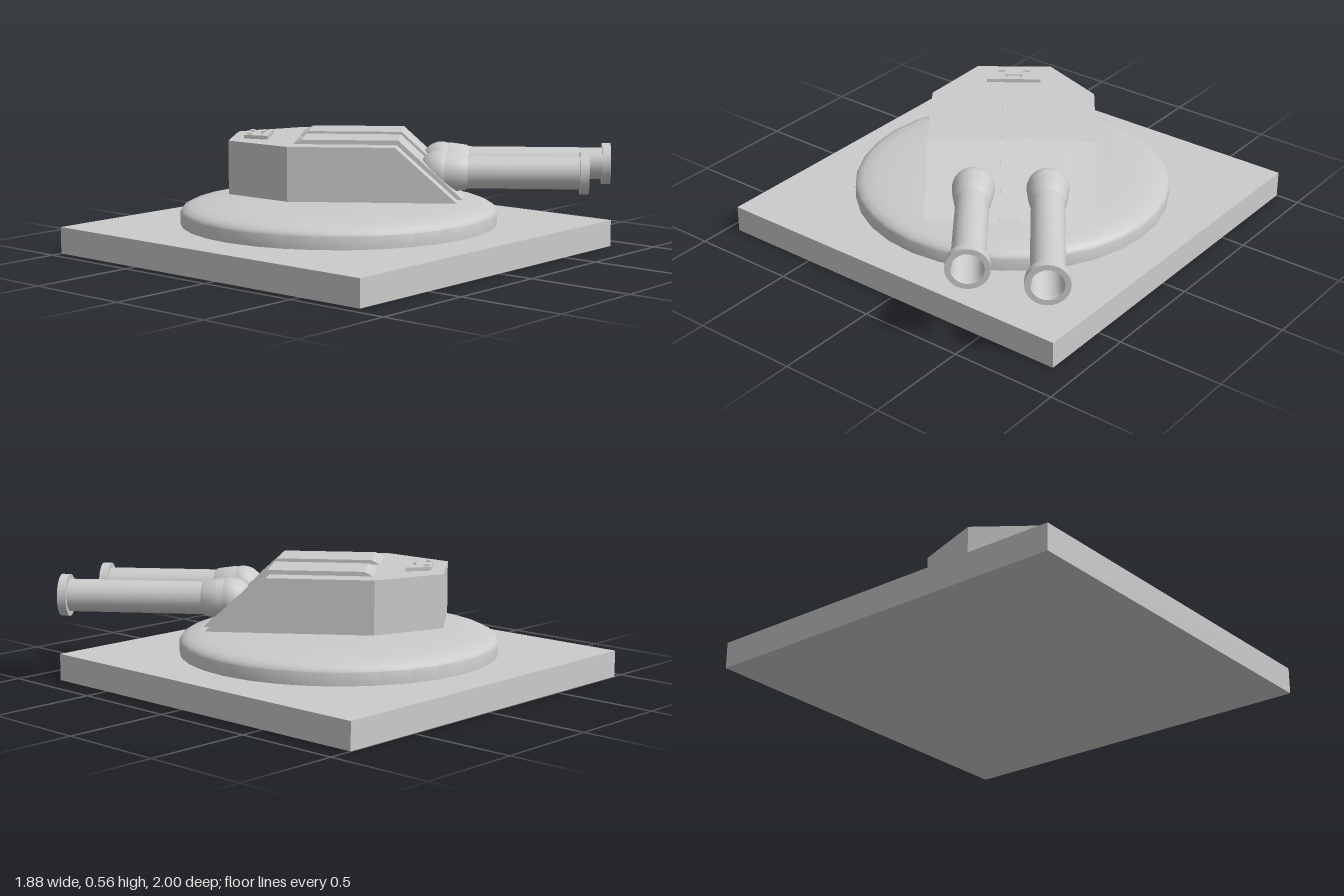
import * as THREE from 'three';
import { toCreasedNormals } from 'three/addons/utils/BufferGeometryUtils.js';
import { ConvexGeometry } from 'three/addons/geometries/ConvexGeometry.js';

const grey = new THREE.MeshStandardMaterial({ color: 0xcccccc });

function add(parent, name, geometry, x = 0, y = 0, z = 0) {
  const mesh = new THREE.Mesh(geometry, grey);
  mesh.name = name;
  mesh.position.set(x, y, z);
  parent.add(mesh);
  return mesh;
}

// Turned part from [radius, height] pairs, with sharp edges kept sharp
function turned(profile, segments) {
  const points = profile.map(([r, h]) => new THREE.Vector2(r, h));
  return toCreasedNormals(new THREE.LatheGeometry(points, segments), 0.6);
}

// Side profile of [z, y] pairs given a width along x
function sideProfile(profile, width) {
  const shape = new THREE.Shape(profile.map(([z, y]) => new THREE.Vector2(z, y)));
  const g = new THREE.ExtrudeGeometry(shape, { depth: width, bevelEnabled: false });
  return g.translate(0, 0, -width / 2).rotateY(-Math.PI / 2);
}

function gunBarrel(length) {
  // Outer tube, muzzle ring, then the bore back to a closed end
  const g = turned([
    [0, 0], [0.092, 0], [0.092, 0.05], [0.082, 0.12], [0.075, 0.13],
    [0.075, length - 0.04], [0.097, length - 0.04], [0.097, length],
    [0.072, length], [0.066, length - 0.03], [0.066, length - 0.3], [0, length - 0.3],
  ], 28);
  return g.rotateX(Math.PI / 2);
}

export function createModel() {
  const model = new THREE.Group();
  model.name = 'gunTurret';

  // Everything turns about the middle of the base
  const assembly = new THREE.Group();
  assembly.name = 'assembly';
  assembly.position.set(-0.03, 0, -0.085);
  model.add(assembly);

  add(assembly, 'basePlate', new THREE.BoxGeometry(1.83, 0.125, 1.83), 0, 0.0625, 0);
  add(assembly, 'turntable', turned([
    [0, 0.135], [0.74, 0.135], [0.74, 0.195], [0.73, 0.21], [0.70, 0.224],
    [0.64, 0.236], [0.52, 0.246], [0.36, 0.252], [0, 0.254],
  ], 32));
  add(assembly, 'neck', new THREE.CylinderGeometry(0.114, 0.114, 0.18, 24), 0, 0.21, 0);

  const turret = new THREE.Group();
  turret.name = 'turret';
  turret.rotation.y = 0.637;
  assembly.add(turret);

  // Armoured body: vertical walls, chamfered back, sloped front
  const corners = [];
  for (const s of [-1, 1]) {
    for (const [y, front] of [[0.287, 0.56], [0.535, 0.283]]) {
      corners.push(
        new THREE.Vector3(s * 0.382, y, front),
        new THREE.Vector3(s * 0.382, y, -0.2),
        new THREE.Vector3(s * 0.178, y, -0.493));
    }
  }
  add(turret, 'body', new ConvexGeometry(corners));

  for (const s of [-1, 1]) {
    // Raised armour strip running over the roof and down the slope
    add(turret, 'armourStrip', sideProfile([
      [-0.195, 0.53], [-0.145, 0.555], [0.292, 0.555], [0.585, 0.287], [0.5, 0.287], [0.25, 0.53],
    ], 0.233), s * 0.163, 0, 0);

    // Rounded gun mount and barrel; one gun is run out further
    const gun = new THREE.Group();
    gun.name = s < 0 ? 'rightGun' : 'leftGun';
    gun.position.set(s * 0.166, 0.4, 0.475);
    turret.add(gun);
    add(gun, 'gunMount', new THREE.SphereGeometry(0.096, 28, 18));
    add(gun, 'barrel', gunBarrel(s < 0 ? 0.677 : 0.793));
  }

  // Roof hatch with a rim, hinges and a handle
  const hatch = new THREE.Group();
  hatch.name = 'hatch';
  hatch.position.set(0, 0.53, -0.375);
  turret.add(hatch);
  const lid = new THREE.Shape([[-0.128, -0.057], [0.128, -0.057], [0.094, 0.057], [-0.094, 0.057]]
    .map(([x, y]) => new THREE.Vector2(x, y)));
  add(hatch, 'hatchLid', new THREE.ExtrudeGeometry(lid, { depth: 0.022, bevelEnabled: false })
    .rotateX(-Math.PI / 2));
  for (const s of [-1, 1]) {
    add(hatch, 'hinge', new THREE.BoxGeometry(0.03, 0.008, 0.02), s * 0.06, 0.025, -0.035);
    add(hatch, 'handlePost', new THREE.BoxGeometry(0.01, 0.01, 0.012), s * 0.035, 0.025, 0.022);
  }
  add(hatch, 'handle', new THREE.BoxGeometry(0.08, 0.006, 0.01), 0, 0.03, 0.022);

  return model;
}
